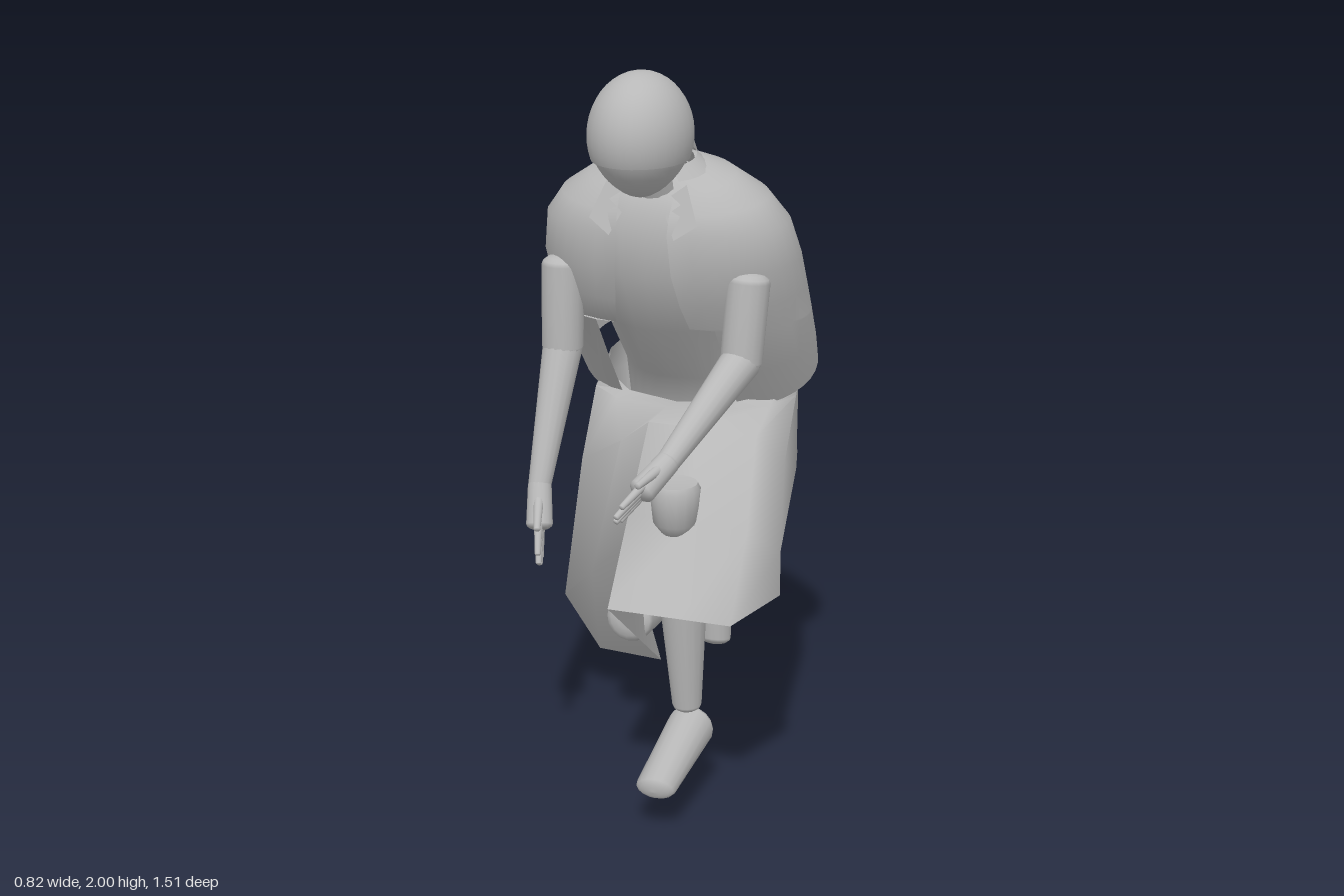
import * as THREE from 'three';
import { toCreasedNormals } from 'three/addons/utils/BufferGeometryUtils.js';

const clay = new THREE.MeshStandardMaterial({ color: 0xb8b8b8, side: THREE.DoubleSide });
clay.name = 'clay grey';

const V = (p) => new THREE.Vector3(...p);

function part(parent, name, geometry) {
  const mesh = new THREE.Mesh(geometry, clay);
  mesh.name = name;
  parent.add(mesh);
  return mesh;
}

// Surface through rows of points, each row running the same way round
function loft(rows, closed, crease) {
  const n = rows[0].length, index = [];
  for (let r = 0; r < rows.length - 1; r++) {
    for (let i = 0; i < (closed ? n : n - 1); i++) {
      const j = (i + 1) % n, a = r * n + i, b = r * n + j;
      index.push(a, a + n, b, b, a + n, b + n);
    }
  }
  const g = new THREE.BufferGeometry();
  g.setAttribute('position', new THREE.Float32BufferAttribute(rows.flat(2), 3));
  g.setIndex(index);
  g.computeVertexNormals();
  return crease ? toCreasedNormals(g, crease) : g;
}

// Tapered limb with rounded ends between two points; tipFlat thins the far end
function limb(parent, name, from, to, r1, r2, tipFlat = 1) {
  const a = V(from), d = V(to).sub(a), len = d.length(), profile = [];
  for (let i = 0; i <= 4; i++) {
    const t = (i / 4) * Math.PI / 2;
    profile.push(new THREE.Vector2(r1 * Math.sin(t), -r1 * 0.5 * Math.cos(t)));
  }
  for (let i = 0; i <= 4; i++) {
    const t = (i / 4) * Math.PI / 2;
    profile.push(new THREE.Vector2(r2 * Math.cos(t), len + r2 * 0.5 * Math.sin(t)));
  }
  const g = new THREE.LatheGeometry(profile, 16), p = g.attributes.position;
  for (let i = 0; i < p.count; i++) {
    const t = THREE.MathUtils.clamp(p.getY(i) / len, 0, 1);
    p.setZ(i, p.getZ(i) * THREE.MathUtils.lerp(1, tipFlat, t));
  }
  const mesh = part(parent, name, g);
  mesh.position.copy(a);
  mesh.quaternion.setFromUnitVectors(new THREE.Vector3(0, 1, 0), d.normalize());
}

// Leaning body section: front and back are [z, y], start is the half angle of the front opening
function section([front, back, halfWidth, start = 0], steps, closed) {
  const row = [];
  for (let i = 0; i < steps; i++) {
    const a = start + (2 * Math.PI - 2 * start) * i / (closed ? steps : steps - 1);
    const s = Math.sin(a), f = (1 - Math.cos(a)) / 2;
    row.push([
      halfWidth * Math.sign(s) * Math.abs(s) ** 0.85,
      THREE.MathUtils.lerp(front[1], back[1], f),
      THREE.MathUtils.lerp(front[0], back[0], f),
    ]);
  }
  return row;
}

function buildHead(model) {
  const head = new THREE.Group();
  head.name = 'head';
  model.add(head);
  const skull = new THREE.SphereGeometry(1, 28, 20), p = skull.attributes.position;
  for (let i = 0; i < p.count; i++) {
    const y = p.getY(i), k = y < 0 ? 1 - 0.2 * y * y : 1;
    p.setXYZ(i, p.getX(i) * 0.132 * k, y * 0.163, p.getZ(i) * 0.155 * k);
  }
  skull.computeVertexNormals();
  part(head, 'skull', skull).position.set(0, 1.834, 0.29);
  // Hair cap down to the brow
  const hair = part(head, 'hair', new THREE.SphereGeometry(1, 28, 14, 0, Math.PI * 2, 0, Math.PI * 0.62));
  hair.scale.set(0.136, 0.165, 0.16);
  hair.position.set(0, 1.835, 0.29);
  limb(head, 'neck', [0, 1.62, 0.14], [0, 1.76, 0.22], 0.075, 0.062);

  // Tapering ponytail
  const path = new THREE.CatmullRomCurve3([[0, 1.84, 0.14], [0, 1.825, 0.08], [0, 1.765, -0.005], [0, 1.67, -0.09], [0, 1.555, -0.142]].map(V));
  const rows = [];
  for (let r = 0; r <= 14; r++) {
    const t = r / 14, c = path.getPoint(t), d = path.getTangent(t), row = [];
    const rad = r === 0 || r === 14 ? 0.002 : 0.043 - 0.02 * t;
    for (let i = 0; i < 12; i++) {
      const a = i * Math.PI / 6, u = Math.sin(a) * rad;
      row.push([Math.cos(a) * rad, c.y - d.z * u, c.z + d.y * u]);
    }
    rows.push(row);
  }
  part(head, 'ponytail', loft(rows, true));
}

function buildTorso(model) {
  const shirt = [
    [[0.21, 1.69], [0.07, 1.73], 0.07], [[0.24, 1.65], [0.0, 1.69], 0.15],
    [[0.275, 1.57], [-0.06, 1.59], 0.25], [[0.26, 1.44], [-0.12, 1.47], 0.25],
    [[0.19, 1.28], [-0.2, 1.33], 0.2], [[0.02, 1.1], [-0.32, 1.15], 0.2], [[-0.02, 1.0], [-0.33, 1.0], 0.2],
  ];
  part(model, 'shirt', loft(shirt.map((s) => section(s, 28, true)), true));
  // Vest, cut back to the sides below the stepped front panels
  const vest = [
    [[0.23, 1.71], [0.08, 1.765], 0.095, 0.6], [[0.25, 1.67], [0.01, 1.735], 0.2, 0.32],
    [[0.28, 1.62], [-0.06, 1.675], 0.285, 0.2], [[0.293, 1.57], [-0.12, 1.59], 0.335, 0.16],
    [[0.285, 1.46], [-0.18, 1.49], 0.355, 0.17], [[0.25, 1.37], [-0.25, 1.38], 0.355, 0.2],
    [[0.215, 1.3], [-0.295, 1.3], 0.355, 0.24], [[0.212, 1.295], [-0.297, 1.295], 0.355, 0.43],
    [[0.1, 1.14], [-0.32, 1.25], 0.35, 0.44], [[0, 1.005], [-0.345, 1.205], 0.34, 0.45],
  ];
  part(model, 'vest', loft(vest.map((s) => section(s, 36, false)), false, 0.9));
  // Standing collar and notched lapels
  const collar = [
    [[0.25, 1.7], [0.05, 1.74], 0.135, 0.6], [[0.235, 1.735], [0.07, 1.77], 0.1, 0.6],
  ];
  part(model, 'collar', loft(collar.map((s) => section(s, 20, false)), false));
  for (const s of [1, -1]) {
    const outline = [[0.11, 1.7], [0.07, 1.67], [0.1, 1.65], [0.06, 1.62], [0.09, 1.56], [0.15, 1.6]];
    const shape = new THREE.Shape(outline.map(([x, y]) => new THREE.Vector2(x * s, y)));
    const lapel = new THREE.ShapeGeometry(shape), p = lapel.attributes.position;
    for (let i = 0; i < p.count; i++) p.setZ(i, 0.292 - (p.getY(i) - 1.56) * 0.33);
    lapel.computeVertexNormals();
    part(model, 'lapel', lapel);
  }
}

function buildArm(model, side, elbow, wrist, tip, spread) {
  const arm = new THREE.Group();
  arm.name = side + 'Arm';
  model.add(arm);
  const x = side === 'left' ? 1 : -1;
  limb(arm, 'sleeve', [0.262 * x, 1.44, 0.19], elbow, 0.058, 0.056);
  limb(arm, 'forearm', elbow, wrist, 0.054, 0.031);
  // Palm, four spread fingers and a thumb
  const w = V(wrist), dir = V(tip).sub(w), knuckle = w.clone().addScaledVector(dir, 0.5);
  const across = V(spread);
  across.addScaledVector(dir, -across.dot(dir) / dir.lengthSq()).normalize();
  limb(arm, 'palm', wrist, knuckle.toArray(), 0.032, 0.036);
  for (let i = 0; i < 4; i++) {
    const k = (i - 1.5) * 0.018;
    const a = knuckle.clone().addScaledVector(across, k);
    const b = w.clone().addScaledVector(dir, i === 1 || i === 2 ? 1 : 0.9).addScaledVector(across, k * 1.4);
    limb(arm, 'finger', a.toArray(), b.toArray(), 0.012, 0.008);
  }
  const a = w.clone().addScaledVector(dir, 0.2).addScaledVector(across, 0.02);
  const b = w.clone().addScaledVector(dir, 0.6).addScaledVector(across, 0.06);
  limb(arm, 'thumb', a.toArray(), b.toArray(), 0.014, 0.009);
}

function buildSkirt(model) {
  const ring = (rx, front, back) => section([front, back, rx], 12, true);
  const waist = ring(0.27, [0.02, 1.03], [-0.37, 1.17]);
  const hip = ring(0.29, [0.1, 1.04], [-0.4, 1.02]);
  const lap = [
    [0, 1.04, 0.24], [0.14, 1.04, 0.24], [0.3, 1.03, 0.23], [0.36, 0.94, 0.17], [0.34, 0.87, 0], [0.28, 0.85, -0.2],
    [0.1, 0.78, -0.29], [-0.1, 0.75, -0.29], [-0.29, 0.6, -0.29], [-0.34, 0.62, -0.12], [-0.25, 0.86, 0.1], [-0.1, 0.96, 0.19],
  ];
  // Fold under the raised thigh, pushed out at the kneeling knee
  const fold = [
    [0, 0.83, 0.395], [0.17, 0.83, 0.395], [0.33, 0.82, 0.39], [0.4, 0.75, 0.32], [0.33, 0.75, 0.13], [0.21, 0.73, -0.12],
    [0.03, 0.62, -0.28], [-0.12, 0.58, -0.285], [-0.41, 0.34, -0.26], [-0.39, 0.36, -0.1], [-0.25, 0.5, 0.04], [-0.08, 0.68, 0.2],
  ];
  const hem = [
    [0, 0.62, 0.55], [0.2, 0.62, 0.55], [0.34, 0.62, 0.55], [0.41, 0.64, 0.35], [0.27, 0.66, 0.24], [0.08, 0.6, 0.06],
    [-0.04, 0.46, -0.26], [-0.17, 0.43, -0.27], [-0.31, 0.25, -0.26], [-0.33, 0.15, -0.22], [-0.13, 0.15, -0.2], [-0.06, 0.4, 0.2],
  ];
  part(model, 'skirt', loft([waist, hip, lap, fold, hem], true, 1.3));
  const seat = part(model, 'seat', new THREE.SphereGeometry(1, 24, 16));
  seat.scale.set(0.2, 0.135, 0.135);
  seat.position.set(0.04, 0.91, -0.258);
}

function buildLegs(model) {
  limb(model, 'leftThigh', [0.13, 0.9, -0.1], [0.135, 0.67, 0.33], 0.1, 0.07);
  limb(model, 'leftShin', [0.13, 0.66, 0.335], [0.135, 0.27, 0.31], 0.07, 0.04);
  limb(model, 'leftFoot', [0.135, 0.187, 0.278], [0.135, 0.13, 0.55], 0.064, 0.056, 0.6);
  limb(model, 'rightThigh', [-0.13, 0.95, -0.15], [-0.135, 0.4, -0.06], 0.1, 0.075);
  limb(model, 'rightShin', [-0.145, 0.365, 0.01], [-0.135, 0.3, -0.62], 0.07, 0.036);
  limb(model, 'rightFoot', [-0.137, 0.31, -0.692], [-0.137, 0.026, -0.7], 0.062, 0.052, 0.6);
}

export function createModel() {
  const model = new THREE.Group();
  model.name = 'kneelingFigure';
  buildHead(model);
  buildTorso(model);
  buildArm(model, 'left', [0.252, 1.23, 0.215], [0.18, 1.06, 0.58], [0.1, 0.95, 0.74], [0.25, 0.5, 0.1]);
  buildArm(model, 'right', [-0.262, 1.215, 0.2], [-0.268, 0.87, 0.36], [-0.235, 0.68, 0.45], [0.25, 0.4, 0.85]);
  buildSkirt(model);
  buildLegs(model);
  // Pouch on the lap
  const profile = [[0, 0.79], [0.035, 0.795], [0.058, 0.825], [0.068, 0.92], [0.06, 0.935], [0, 0.93]];
  const pouch = new THREE.LatheGeometry(profile.map(([r, y]) => new THREE.Vector2(r, y)), 16);
  part(model, 'pouch', toCreasedNormals(pouch, 0.8)).position.set(0.13, 0, 0.39);
  return model;
}
